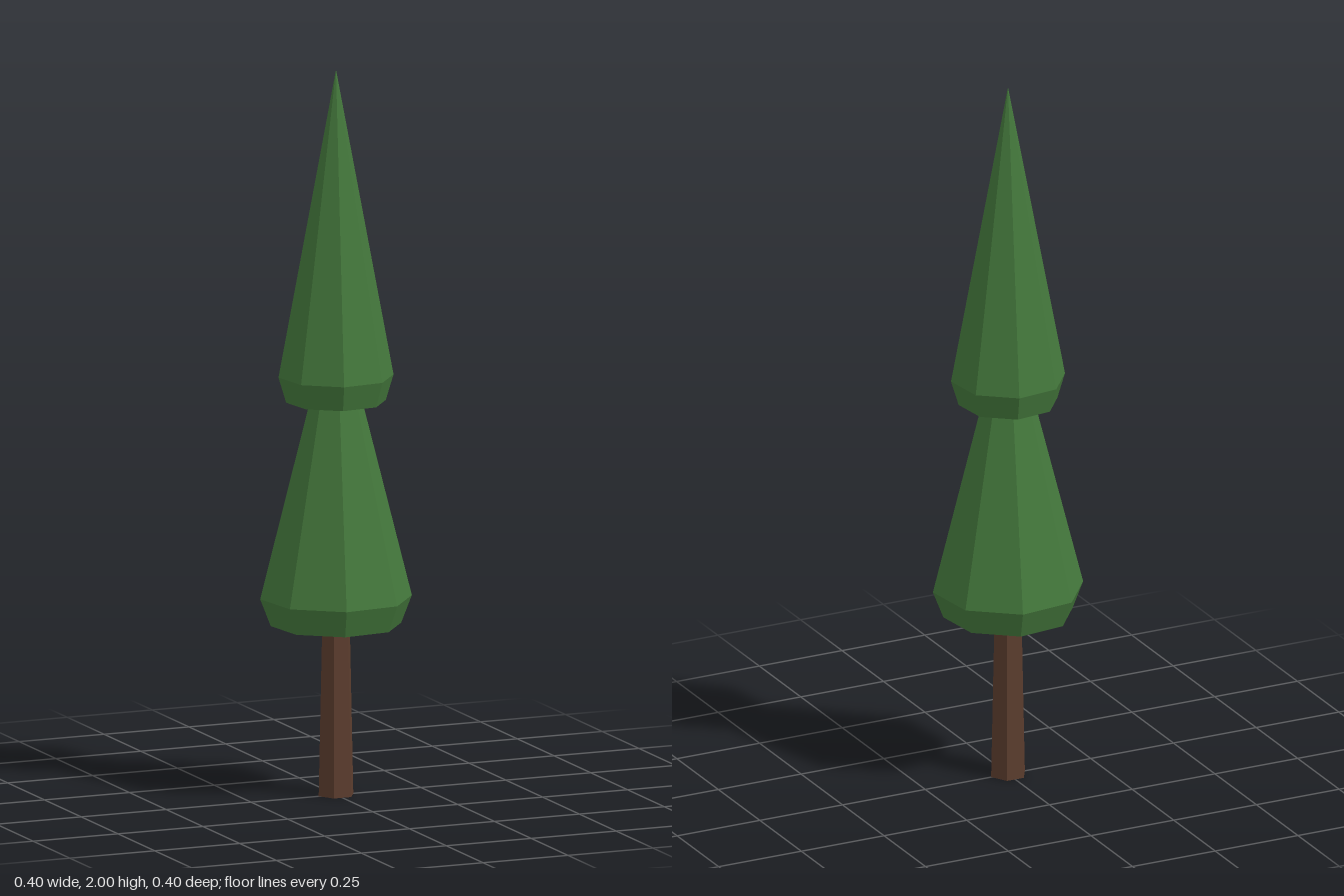
import * as THREE from 'three';

export function createModel() {
  const group = new THREE.Group();
  const foliage = new THREE.MeshStandardMaterial({ name: 'foliage green', color: 0x44783c, flatShading: true });
  const bark = new THREE.MeshStandardMaterial({ name: 'bark brown', color: 0x5c3d2e, flatShading: true });

  // Six-sided tapered trunk, corners on the x axis
  const trunk = new THREE.Mesh(new THREE.CylinderGeometry(0.04, 0.051, 0.5, 6), bark);
  trunk.name = 'trunk';
  trunk.position.y = 0.25;
  trunk.rotation.y = Math.PI / 6;
  group.add(trunk);

  // Eight-sided foliage tier: flat underside, short flared skirt, tall cone
  function addTier(name, bottomY, bottomR, rimY, rimR, tipY) {
    const profile = [[0, bottomY], [bottomR, bottomY], [rimR, rimY], [0, tipY]]
      .map(([r, y]) => new THREE.Vector2(r, y));
    const tier = new THREE.Mesh(new THREE.LatheGeometry(profile, 8), foliage);
    tier.name = name;
    tier.rotation.y = 0.517;
    group.add(tier);
  }
  addTier('lowerFoliage', 0.47, 0.178, 0.545, 0.207, 1.37);
  addTier('upperFoliage', 1.085, 0.136, 1.155, 0.157, 2);

  return group;
}
